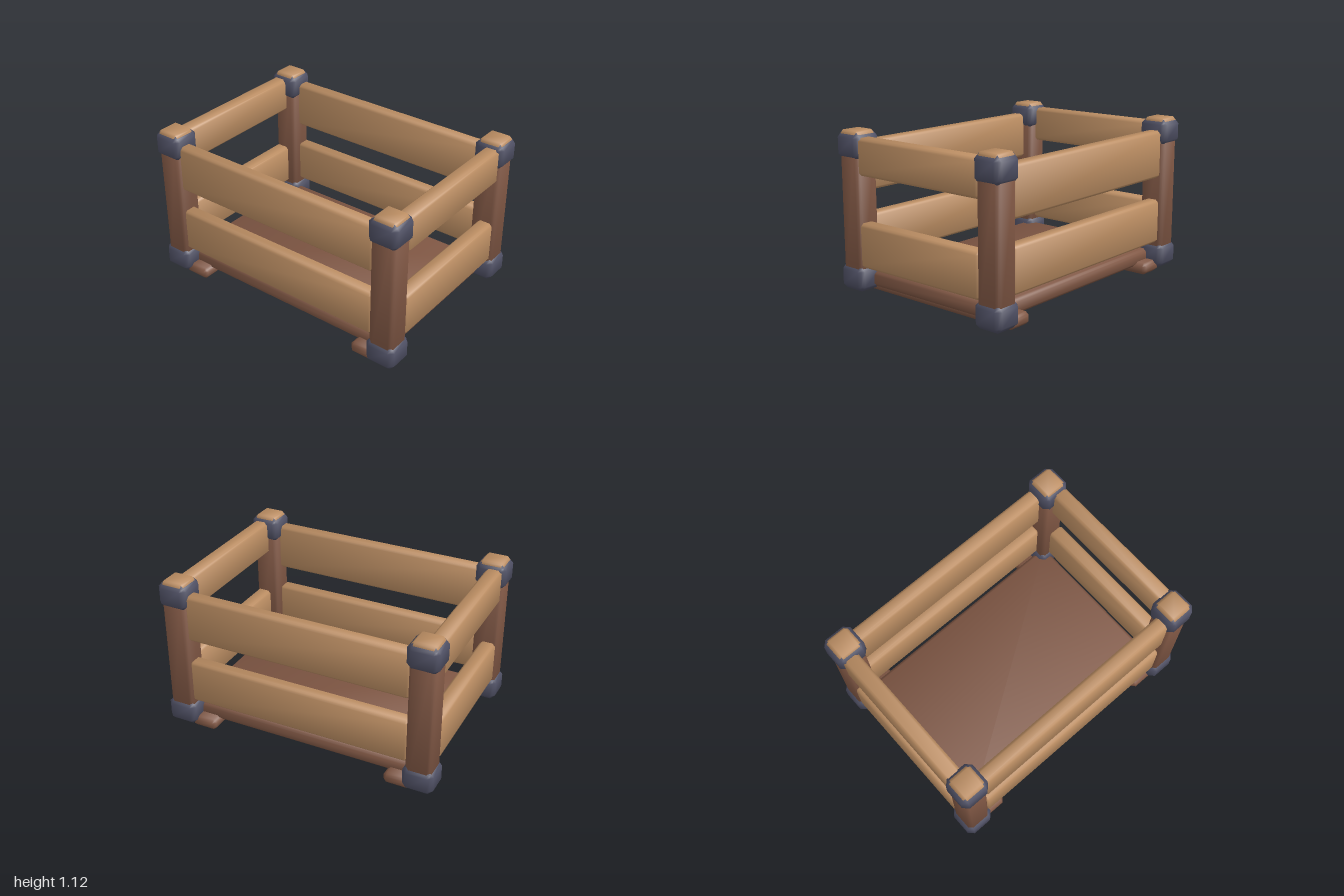
import * as THREE from 'three';

const material = (name, color) => {
  const m = new THREE.MeshStandardMaterial({ color });
  m.name = name;
  return m;
};

// Box with chamfered edges and soft normals that lean towards the chamfers
function chamferBox(w, h, d, c) {
  const geo = new THREE.BoxGeometry(1, 1, 1, 3, 3, 3);
  const pos = geo.attributes.position, nor = geo.attributes.normal;
  const half = [w / 2, h / 2, d / 2];
  const n = new THREE.Vector3();
  for (let i = 0; i < pos.count; i++) {
    const p = [pos.getX(i), pos.getY(i), pos.getZ(i)];
    const outer = p.map(v => Math.abs(v) > 0.4);
    const count = outer.filter(Boolean).length;
    const inset = c * (count - 1) / count; // face 0, edge 1/2, corner 2/3
    const q = p.map((v, k) => Math.sign(v) * (half[k] - (outer[k] ? inset : c)));
    pos.setXYZ(i, ...q);
    n.set(...p.map((v, k) => Math.sign(v) * (outer[k] ? 1 : 0.39))).normalize();
    nor.setXYZ(i, n.x, n.y, n.z);
  }
  return geo;
}

export function createModel() {
  const crate = new THREE.Group();
  crate.name = 'crate';
  const lightWood = material('light wood', 0xbc8e63);
  const darkWood = material('dark wood', 0x805744);
  const metal = material('slate metal', 0x4e4f63);

  // Adds a chamfered box given by its extents on each axis
  const add = (name, mat, [x0, x1], [y0, y1], [z0, z1], c) => {
    const mesh = new THREE.Mesh(chamferBox(x1 - x0, y1 - y0, z1 - z0, c), mat);
    mesh.position.set((x0 + x1) / 2, (y0 + y1) / 2, (z0 + z1) / 2);
    mesh.name = name;
    crate.add(mesh);
  };
  const around = (centre, size) => [centre - size / 2, centre + size / 2];

  // Floor panel
  add('floor', darkWood, [-0.88, 0.88], [0.048, 0.157], [-0.6, 0.6], 0.025);

  for (const s of [-1, 1]) {
    // Skid under each end
    add('skid', darkWood, around(s * 0.738, 0.19), [0, 0.085], [-0.68, 0.68], 0.025);

    // Front and back slats
    for (const y of [[0.22, 0.537], [0.7, 1.04]])
      add(s > 0 ? 'frontSlat' : 'backSlat', lightWood, [-0.81, 0.81], y, around(s * 0.633, 0.105), 0.022);

    // Side slats
    for (const y of [[0.2, 0.508], [0.832, 1.085]])
      add(s > 0 ? 'leftSlat' : 'rightSlat', lightWood, around(s * 0.917, 0.115), y, [-0.537, 0.537], 0.022);

    // Corner posts with metal caps and wooden tops
    for (const t of [-1, 1]) {
      const x = s * 0.892, z = t * 0.613;
      add('cornerPost', darkWood, around(x, 0.18), [0.06, 1.06], around(z, 0.18), 0.025);
      add('bottomCap', metal, around(x, 0.216), [0.028, 0.205], around(z, 0.216), 0.036);
      add('topCap', metal, around(x, 0.216), [0.932, 1.115], around(z, 0.216), 0.036);
      add('postTop', lightWood, around(x, 0.172), [1.04, 1.125], around(z, 0.172), 0.02);
    }
  }
  return crate;
}
